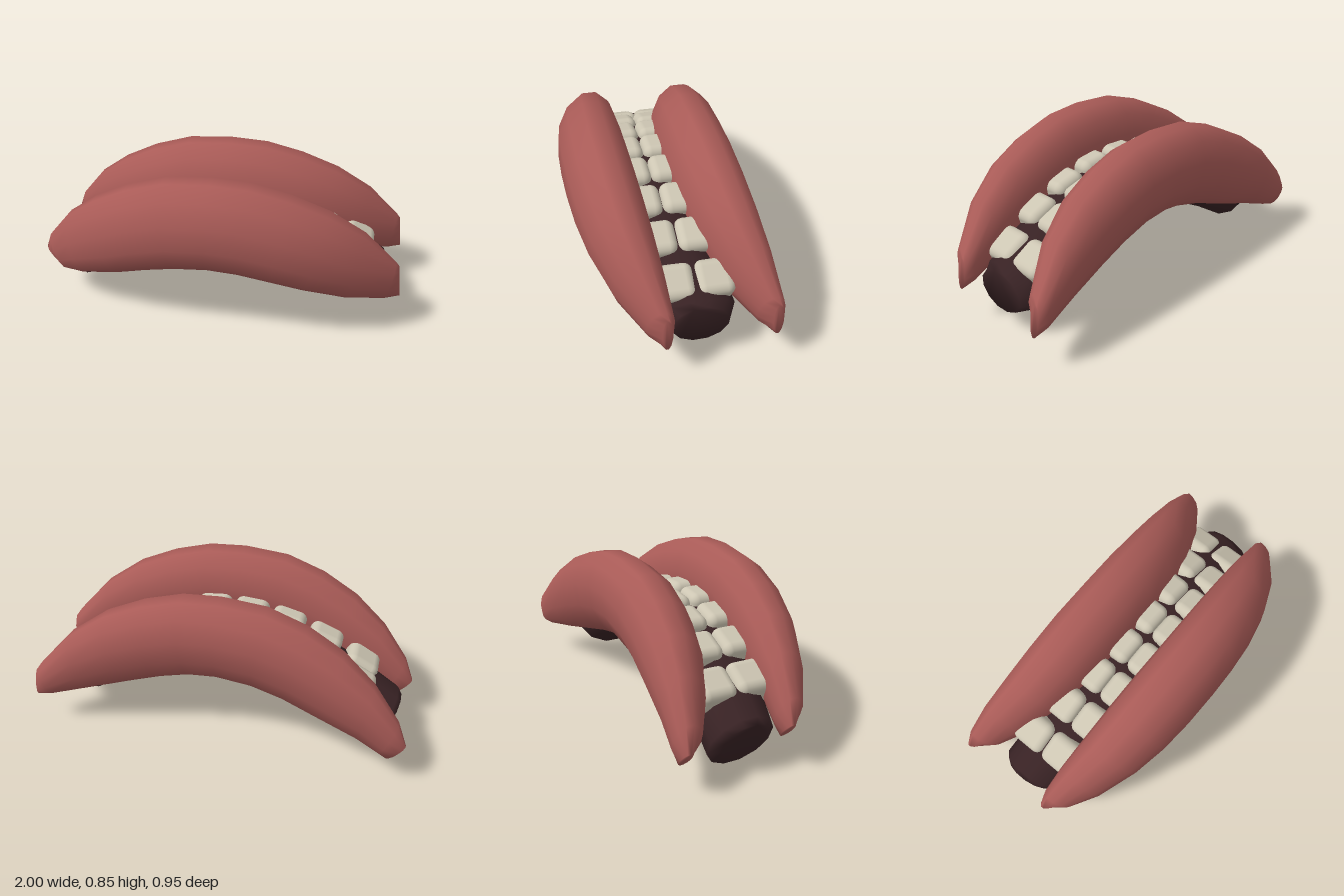
import * as THREE from 'three';
import { RoundedBoxGeometry } from 'three/addons/geometries/RoundedBoxGeometry.js';

const lipMat = new THREE.MeshStandardMaterial({ color: 0xa95b57 });
lipMat.name = 'lip red';
const gumMat = new THREE.MeshStandardMaterial({ color: 0x382224 });
gumMat.name = 'dark gum';
const toothMat = new THREE.MeshStandardMaterial({ color: 0xcdc6b3 });
toothMat.name = 'tooth ivory';

// Each section: top x, top y, bottom x, bottom y, centre z, half depth (ordered from -x to +x)
const lipSections = [
  [-1.0, 0.25, -0.91, 0.15, 0.115, 0.03],
  [-0.95, 0.36, -0.86, 0.155, 0.15, 0.075],
  [-0.81, 0.53, -0.74, 0.19, 0.2, 0.115],
  [-0.64, 0.66, -0.51, 0.26, 0.25, 0.15],
  [-0.45, 0.76, -0.34, 0.32, 0.278, 0.166],
  [-0.24, 0.83, -0.18, 0.36, 0.293, 0.172],
  [0, 0.85, 0, 0.38, 0.298, 0.173],
  [0.2, 0.84, 0.16, 0.37, 0.294, 0.172],
  [0.4, 0.79, 0.33, 0.335, 0.28, 0.167],
  [0.6, 0.71, 0.5, 0.29, 0.255, 0.153],
  [0.79, 0.585, 0.72, 0.235, 0.208, 0.12],
  [0.96, 0.4, 0.92, 0.2, 0.14, 0.066],
  [0.98, 0.37, 1.0, 0.2, 0.115, 0.025],
];

const gumSections = [
  [-0.95, 0.27, -0.86, 0.06, -0.085, 0.12],
  [-0.93, 0.3, -0.79, 0.0, -0.085, 0.17],
  [-0.75, 0.39, -0.6, 0.12, -0.055, 0.185],
  [-0.5, 0.5, -0.4, 0.22, -0.015, 0.19],
  [-0.26, 0.57, -0.2, 0.28, 0.01, 0.19],
  [0, 0.595, 0, 0.3, 0.02, 0.19],
  [0.26, 0.575, 0.2, 0.29, 0.01, 0.19],
  [0.48, 0.52, 0.4, 0.24, -0.015, 0.19],
  [0.7, 0.43, 0.58, 0.17, -0.045, 0.19],
  [0.87, 0.35, 0.72, 0.08, -0.07, 0.192],
  [0.9, 0.33, 0.9, 0.12, -0.07, 0.14],
];

// Skins twelve-sided oval sections, leaning their tops toward -z, and closes both ends
function loft(sections, lean) {
  const sides = 12;
  const grow = 1 / Math.cos(Math.PI / sides);
  const pos = [], index = [];
  sections.forEach(([xt, yt, xb, yb, z, depth]) => {
    for (let j = 0; j < sides; j++) {
      const a = ((j + 0.5) / sides) * Math.PI * 2;
      const k = (Math.cos(a) * grow) / 2;
      pos.push((xt + xb) / 2 + (xt - xb) * k, (yt + yb) / 2 + (yt - yb) * k);
      pos.push(z + (Math.sin(a) * grow - Math.cos(a) * lean) * depth);
    }
  });
  const last = (sections.length - 1) * sides;
  for (let i = 0; i < last; i += sides) {
    for (let j = 0; j < sides; j++) {
      const a = i + j, b = i + ((j + 1) % sides);
      index.push(a, b, a + sides, b, b + sides, a + sides);
    }
  }
  for (let j = 1; j < sides - 1; j++) {
    index.push(0, j + 1, j, last, last + j, last + j + 1);
  }
  const geo = new THREE.BufferGeometry();
  geo.setAttribute('position', new THREE.Float32BufferAttribute(pos, 3));
  geo.setIndex(index);
  geo.computeVertexNormals();
  return geo;
}

export function createModel() {
  const model = new THREE.Group();
  model.name = 'mouth';
  const add = (geo, mat, name) => {
    const mesh = new THREE.Mesh(geo, mat);
    mesh.name = name;
    model.add(mesh);
    return mesh;
  };

  // Two matching lips, one behind the other
  const lipGeo = loft(lipSections, 0.13);
  add(lipGeo, lipMat, 'frontLip');
  add(lipGeo, lipMat, 'backLip').position.set(0, -0.01, -0.542);

  // Curved gum bed
  add(loft(gumSections, 0), gumMat, 'gum');

  // Two rows of eight teeth that follow the arch
  const toothGeo = new RoundedBoxGeometry(0.188, 0.2, 0.195, 3, 0.045);
  for (let i = 0; i < 8; i++) {
    const x = -0.71 + i * 0.207;
    const top = 0.645 - 0.42 * x * x;
    const tilt = Math.atan(-0.75 * x);
    const bend = 0.17 * x * x;
    [['front', 0.122], ['back', -0.075]].forEach(([row, z]) => {
      const tooth = add(toothGeo, toothMat, `${row}Tooth${i + 1}`);
      tooth.position.set(x + 0.03 * Math.sin(tilt), top - 0.1 * Math.cos(tilt), z - bend);
      tooth.rotation.z = tilt;
    });
  }
  return model;
}
